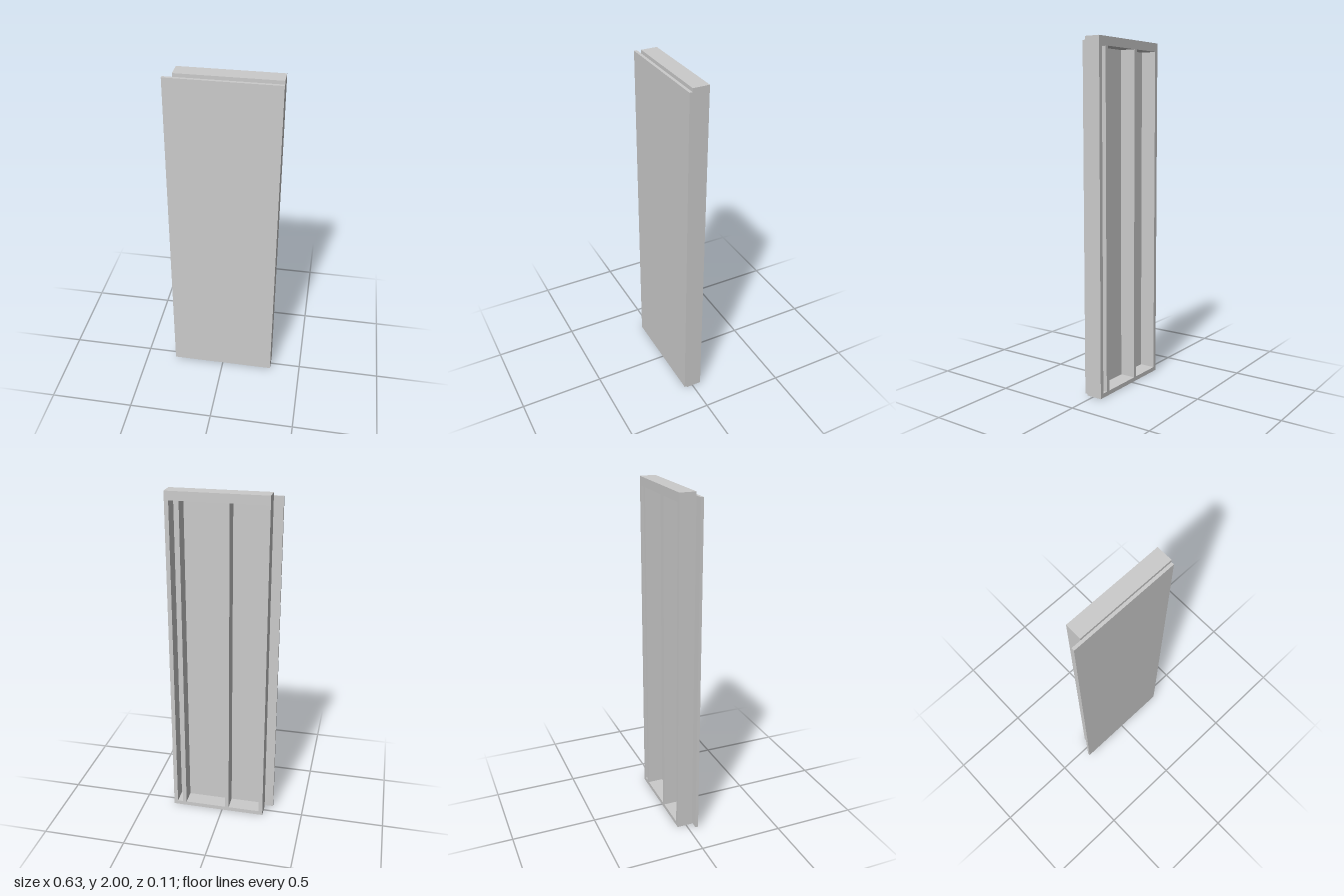
import * as THREE from 'three';

export function createModel() {
  const group = new THREE.Group();
  group.name = 'framedWallPanel';
  const material = new THREE.MeshStandardMaterial({ color: 0xcccccc, flatShading: true });

  // Box given by its limits on each axis
  const addBox = (name, [x0, x1], [y0, y1], [z0, z1]) => {
    const mesh = new THREE.Mesh(new THREE.BoxGeometry(x1 - x0, y1 - y0, z1 - z0), material);
    mesh.position.set((x0 + x1) / 2, (y0 + y1) / 2, (z0 + z1) / 2);
    mesh.name = name;
    group.add(mesh);
  };

  const left = 0.313, right = -0.259;
  const depth = [-0.055, 0.038];
  const thick = 0.024;
  const bottomTop = 0.025, topBottom = 1.95;

  // Sheathing on the front, overhanging the frame on one side
  addBox('sheathing', [-left, left], [0.01, 1.98], [depth[1], 0.055]);

  // Horizontal plates
  addBox('bottomPlate', [right, left], [0, bottomTop], depth);
  addBox('topPlate', [right, left], [topBottom, 2], depth);

  // Upright studs: both ends, the corner backing stud and the middle
  const studs = { rightEndStud: right, middleStud: -0.043, cornerStud: 0.232, leftEndStud: left - thick };
  for (const [name, x] of Object.entries(studs)) {
    addBox(name, [x, x + thick], [bottomTop, topBottom], depth);
  }

  return group;
}
